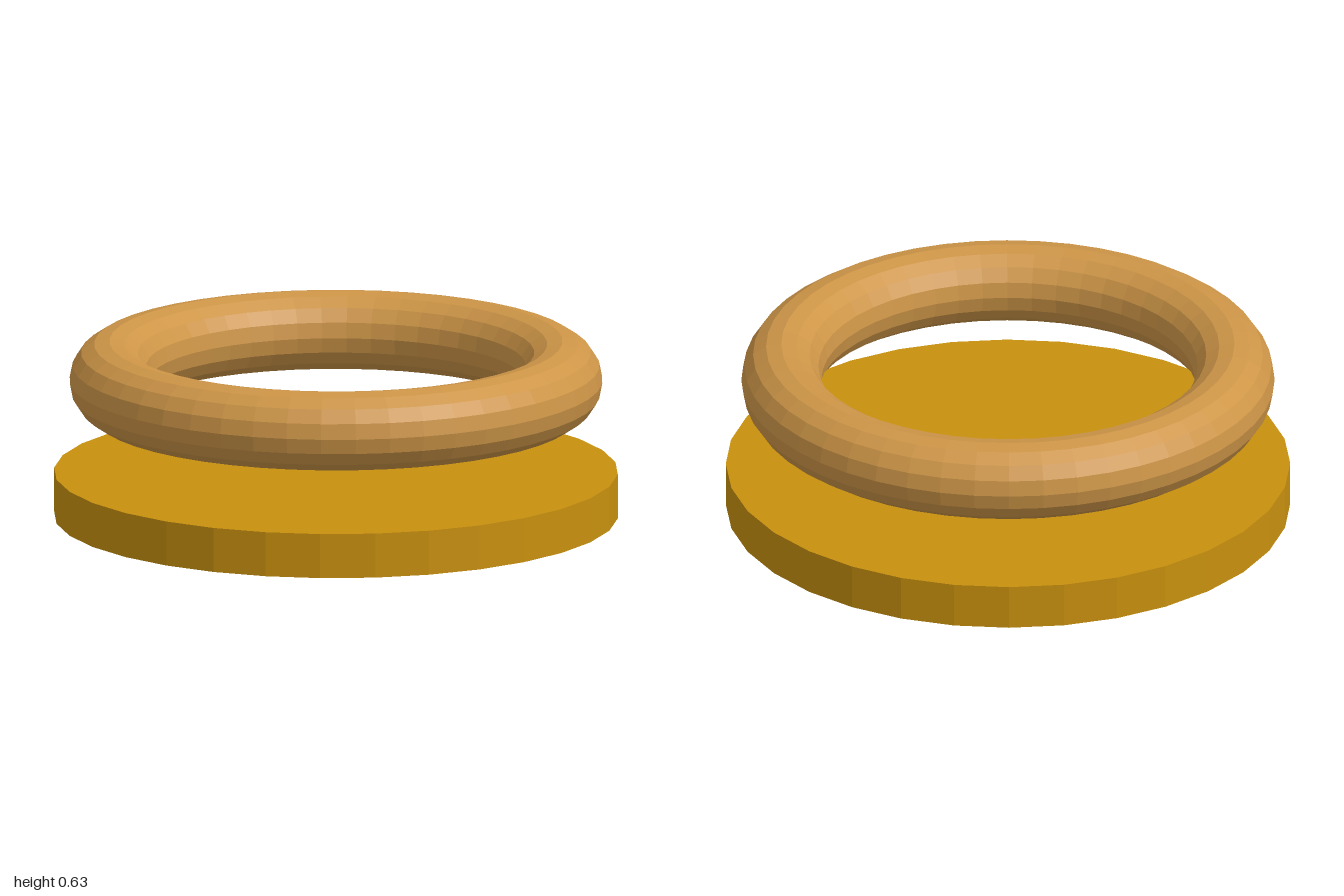
import * as THREE from 'three';

export function createModel() {
  const group = new THREE.Group();

  const gold = new THREE.MeshStandardMaterial({ color: 0xc8900e, flatShading: true });
  gold.name = 'gold';
  const tan = new THREE.MeshStandardMaterial({ color: 0xcd9547, flatShading: true });
  tan.name = 'tan';

  // Round base disc
  const base = new THREE.Mesh(new THREE.CylinderGeometry(1, 1, 0.16, 32), gold);
  base.name = 'base';
  base.position.y = 0.08;
  group.add(base);

  // Ring floating above the base
  const ring = new THREE.Mesh(new THREE.TorusGeometry(0.803, 0.142, 16, 48), tan);
  ring.name = 'ring';
  ring.rotation.x = Math.PI / 2;
  ring.position.y = 0.49;
  group.add(ring);

  return group;
}
